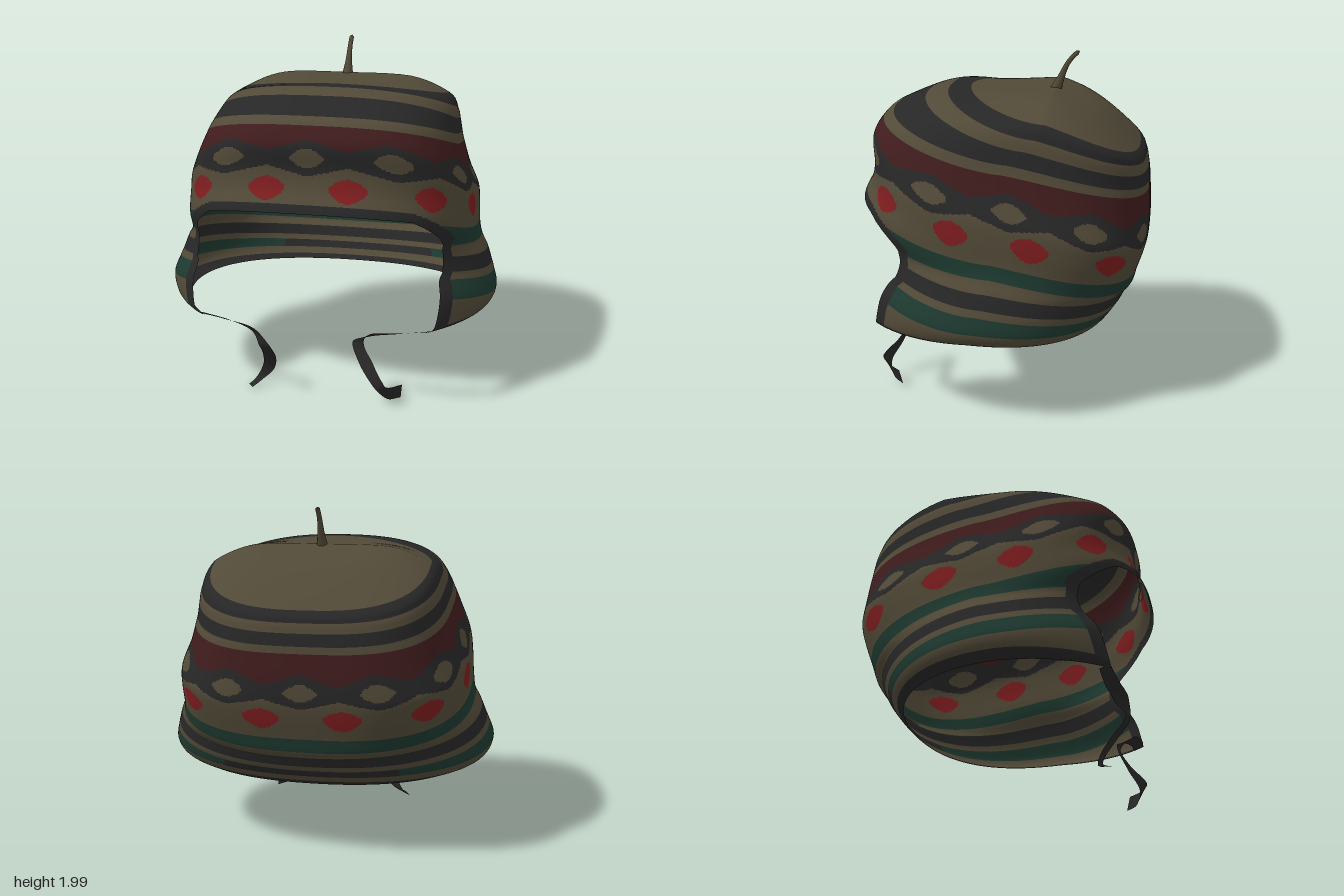
import * as THREE from 'three';

const mat = (name, color) => {
  const m = new THREE.MeshStandardMaterial({ color, side: THREE.DoubleSide });
  m.name = name;
  return m;
};
const WOOL = [
  mat('tan wool', 0x524a38), mat('charcoal wool', 0x272728), mat('maroon wool', 0x401c1d),
  mat('red wool', 0x7e1d1f), mat('green wool', 0x1d392f),
];
const [TAN, DARK, MAROON, RED, GREEN] = [0, 1, 2, 3, 4];

// Tilted rings from crown to hem: y front, y side, y back, z front, z back, half width, z centre,
// squareness of the front half. Each ring is also a knitted row, so the colour bands follow them.
const RINGS = [
  [1.78, 1.78, 1.78, -0.28, -0.28, 0.0, -0.28, 1.9],
  [1.78, 1.77, 1.665, -0.02, -0.55, 0.4, -0.28, 1.9],
  [1.79, 1.68, 1.46, 0.23, -0.785, 0.64, -0.27, 1.9],
  [1.79, 1.605, 1.395, 0.35, -0.825, 0.695, -0.22, 2.5],
  [1.76, 1.545, 1.34, 0.48, -0.838, 0.715, -0.16, 2.7],
  [1.68, 1.47, 1.27, 0.67, -0.848, 0.735, -0.08, 2.8],
  [1.64, 1.42, 1.23, 0.73, -0.85, 0.75, -0.04, 2.8],
  [1.54, 1.31, 1.08, 0.79, -0.86, 0.79, 0, 2.8],
  [1.4, 1.18, 0.95, 0.78, -0.855, 0.845, 0, 2.8],
  [1.295, 1.07, 0.855, 0.80, -0.835, 0.862, 0, 2.7],
  [1.175, 0.94, 0.74, 0.86, -0.8, 0.87, 0, 2.6],
  [1.03, 0.86, 0.66, 0.88, -0.78, 0.89, 0, 2.1],
  [0.96, 0.79, 0.62, 0.83, -0.75, 0.93, 0.02, 2],
  [0.87, 0.71, 0.56, 0.82, -0.72, 0.96, 0.05, 2],
  [0.83, 0.67, 0.53, 0.83, -0.7, 0.975, 0.07, 2],
  [0.72, 0.58, 0.49, 0.89, -0.67, 1.0, 0.12, 2],
  [0.51, 0.51, 0.455, 0.94, -0.64, 0.97, 0.13, 2],
  [0.475, 0.475, 0.43, 0.95, -0.61, 0.89, 0.12, 2],
];
const BRIM = 10, HEM = RINGS.length - 1, RAD = Math.PI / 180;

function ringAt(t) {
  const i = Math.min(Math.floor(t), HEM - 1), f = t - i;
  const r = (k) => RINGS[Math.max(0, Math.min(HEM, k))];
  return r(i).map((b, k) => {
    const a = r(i - 1)[k], c = r(i + 1)[k], d = r(i + 2)[k];
    return b + 0.5 * f * (c - a + f * (2 * a - 5 * b + 4 * c - d + f * (3 * (b - c) + d - a)));
  });
}

// Point on the cap: deg runs from the front (0) past its left (90) to the back (180)
function surface(deg, t) {
  const [yf, ys, yb, zf, zb, rx, zc, square] = ringAt(t);
  let s = Math.sin(deg * RAD), c = Math.cos(deg * RAD);
  const backSquare = Math.max(2.3, t < 8 ? 2.5 + 0.1 * t : 3.3 - 0.25 * (t - 8));
  const n = c > 0 ? square : backSquare;
  const r = 1 / Math.pow(Math.abs(s) ** n + Math.abs(c) ** n, 1 / n);
  s *= r; c *= r;
  const y = ys + (c > 0 ? (yf - ys) * c ** 1.4 : (yb - ys) * (-c) ** 1.15);
  return new THREE.Vector3(rx * s, y, zc + (c > 0 ? zf - zc : zc - zb) * c);
}

function normalAt(deg, t) {
  const h = 0.02, u = Math.max(0.1, Math.min(HEM - h, t));
  const dT = surface(deg, u + h).sub(surface(deg, u - h));
  const dA = surface(deg + 1, u).sub(surface(deg - 1, u));
  return dT.cross(dA).normalize();
}

// Front edge of the ear flaps, as an angle for each row
const flapEdge = (t) => (t < 11 ? 53 - 15 * (11 - t) ** 2 : Math.max(46.5, 53 - 2 * (t - 11)));

// Knitted pattern: stripes, a chain of lozenges, a row of red motifs, dark edging
function colourAt(deg, t) {
  const a = Math.min(deg, 360 - deg), edging = t - (BRIM - 0.38);
  if (edging > 0 && a < flapEdge(BRIM + edging) + 5.5 * Math.min(1, edging)) return DARK;
  if (t < 6) return [TAN, TAN, DARK, TAN, DARK, TAN][Math.floor(t)];
  if (t > BRIM) {
    const c = [GREEN, TAN, DARK, TAN, GREEN, TAN, DARK][Math.floor(t) - BRIM];
    return c === GREEN && t > 14 && a > 150 ? DARK : c;
  }
  const toLozenge = (p) => Math.abs(p - Math.round(p));
  const d = toLozenge(a / 30 - 0.24 * Math.sin(a * RAD) ** 2), v = Math.abs(t - 7.5);
  if ((d / 0.22) ** 1.4 + (v / 0.4) ** 1.4 < 1) return TAN;
  if (v < 0.78 - 0.95 * d) return DARK;
  if (t < 7.5) return MAROON;
  const e = 0.5 - toLozenge(a / 30);
  return (e / 0.235) ** 1.5 + (Math.abs(t - 8.92) / 0.6) ** 1.5 < 1 ? RED : TAN;
}

// Grid of knitted cells between rows t0 and t1, grouped by colour
function knit(name, t0, t1, cols, range) {
  const rows = [];
  for (let i = t0; i < t1; i++) {
    const n = i >= 6 && i < BRIM ? 16 : 6;
    for (let k = 0; k < n; k++) rows.push(i + k / n);
  }
  rows.push(t1);
  const pos = [], nor = [], faces = WOOL.map(() => []);
  const angle = (j, t) => { const [a, b] = range(t); return a + (b - a) * j / cols; };
  rows.forEach((t, i) => {
    for (let j = 0; j <= cols; j++) {
      const d = angle(j, t);
      pos.push(...surface(d, t).toArray());
      nor.push(...normalAt(d, t).toArray());
      if (i === rows.length - 1 || j === cols) continue;
      const tm = (t + rows[i + 1]) / 2, a = i * (cols + 1) + j, c = a + cols + 1;
      faces[colourAt(angle(j + 0.5, tm), tm)].push(a, c, a + 1, a + 1, c, c + 1);
    }
  });
  const g = new THREE.BufferGeometry();
  g.setAttribute('position', new THREE.Float32BufferAttribute(pos, 3));
  g.setAttribute('normal', new THREE.Float32BufferAttribute(nor, 3));
  g.setIndex(faces.flat());
  let start = 0;
  faces.forEach((f, k) => { if (f.length) g.addGroup(start, f.length, k); start += f.length; });
  const m = new THREE.Mesh(g, WOOL);
  m.name = name;
  return m;
}

// Flat ribbon along a path; each point is x, y, z and the direction of its half width
function ribbon(name, points) {
  const path = new THREE.CatmullRomCurve3(points.map((p) => new THREE.Vector3(p[0], p[1], p[2])));
  const n = 48, pos = [], idx = [], k = points.length - 1;
  for (let i = 0; i <= n; i++) {
    const u = i / n, p = path.getPoint(u), s = Math.min(Math.floor(u * k), k - 1);
    const w = new THREE.Vector3(...points[s].slice(3)).lerp(new THREE.Vector3(...points[s + 1].slice(3)), u * k - s);
    pos.push(...p.clone().add(w).toArray(), ...p.clone().sub(w).toArray());
    const a = i * 2;
    if (i < n) idx.push(a, a + 1, a + 2, a + 2, a + 1, a + 3);
  }
  const g = new THREE.BufferGeometry();
  g.setAttribute('position', new THREE.Float32BufferAttribute(pos, 3));
  g.setIndex(idx);
  g.computeVertexNormals();
  const m = new THREE.Mesh(g, WOOL[DARK]);
  m.name = name;
  return m;
}

export function createModel() {
  const group = new THREE.Group();
  group.name = 'knitted cap';
  group.add(knit('crown', 0, BRIM, 480, () => [0, 360]));
  group.add(knit('earFlapsAndNeck', BRIM, HEM, 320, (t) => [flapEdge(t), 360 - flapEdge(t)]));

  // Tapered stem on the crown
  const stemPath = new THREE.CatmullRomCurve3([[1.76, -0.27], [1.82, -0.295], [1.92, -0.34], [1.97, -0.38], [1.995, -0.41]]
    .map(([y, z]) => new THREE.Vector3(0, y, z)));
  const sides = 10, segs = 16;
  const stemGeo = new THREE.TubeGeometry(stemPath, segs, 1, sides);
  const p = stemGeo.attributes.position;
  for (let i = 0; i < p.count; i++) {
    const u = Math.floor(i / (sides + 1)) / segs, c = stemPath.getPointAt(u);
    const r = u === 1 ? 0.002 : 0.014 + 0.024 * (1 - u) ** 3;
    const v = new THREE.Vector3().fromBufferAttribute(p, i).sub(c).multiplyScalar(r).add(c);
    p.setXYZ(i, v.x, v.y, v.z);
  }
  const stem = new THREE.Mesh(stemGeo, WOOL[TAN]);
  stem.name = 'stem';
  group.add(stem);

  // Curling tie strings
  group.add(ribbon('leftTie', [
    [0.68, 0.475, 0.66, 0, 0.01, 0.03], [0.5, 0.45, 0.67, 0, 0.015, 0.035], [0.32, 0.41, 0.64, 0.015, 0.025, 0.035],
    [0.25, 0.34, 0.59, 0.035, 0, 0.005], [0.31, 0.23, 0.64, 0.035, 0.02, 0.005], [0.4, 0.13, 0.71, 0.025, 0.03, 0.02],
    [0.44, 0.08, 0.68, 0.0, 0.045, 0.02], [0.51, 0.065, 0.6, 0.005, 0.045, 0.01],
  ]));
  group.add(ribbon('rightTie', [
    [-0.68, 0.475, 0.66, 0, 0.01, 0.03], [-0.52, 0.45, 0.67, 0, 0.015, 0.035], [-0.35, 0.41, 0.7, 0.015, 0.025, 0.035],
    [-0.28, 0.33, 0.72, 0.035, 0, 0.005], [-0.27, 0.22, 0.64, 0.04, 0, 0.005], [-0.3, 0.12, 0.58, 0.038, 0, 0.005],
    [-0.36, 0.04, 0.57, 0.03, 0.01, 0.01], [-0.4, 0.012, 0.61, 0.02, 0.005, 0.03],
  ]));
  return group;
}
